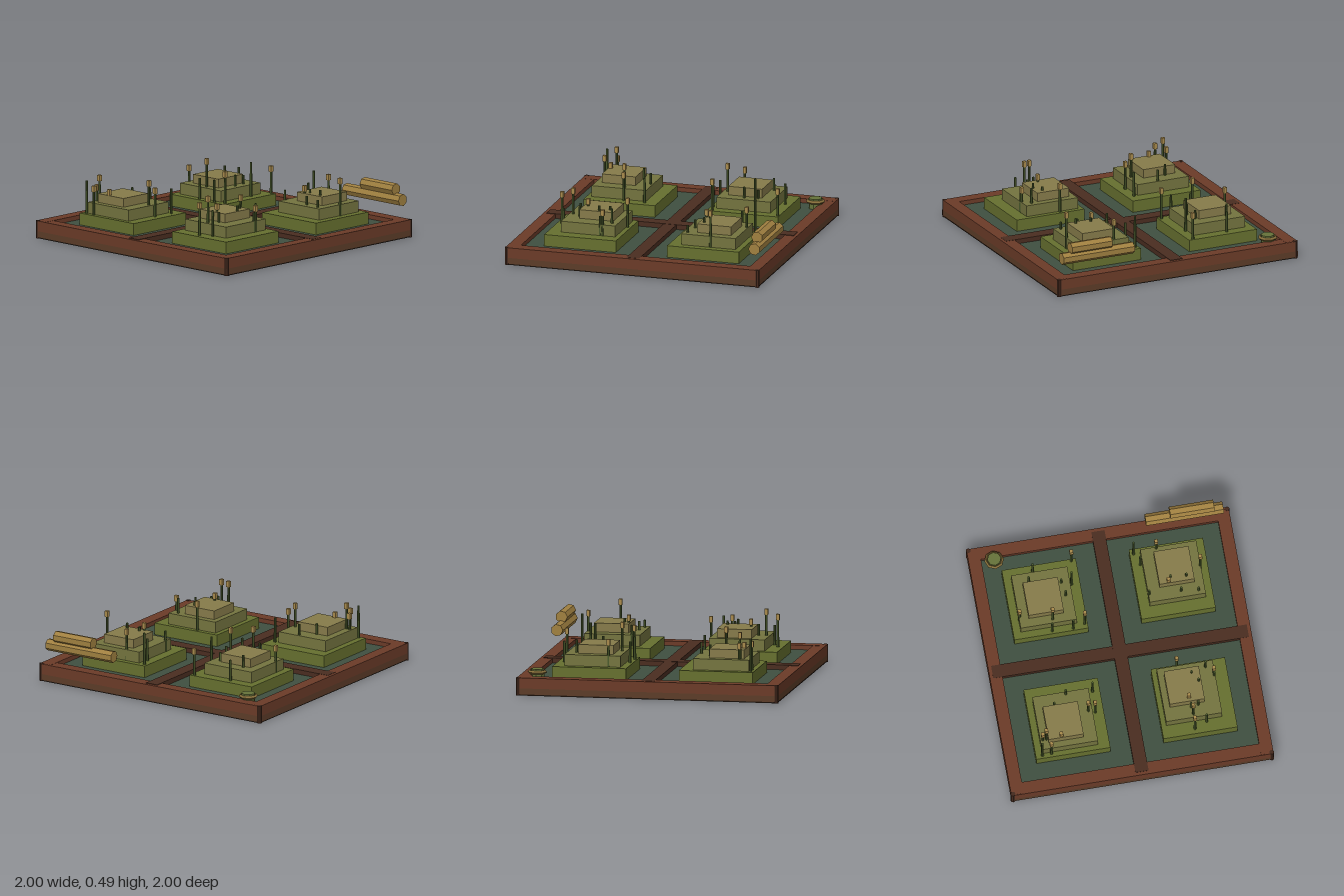
import * as THREE from 'three';

const mat = (color) => new THREE.MeshStandardMaterial({ color, flatShading: true });
const M = {
  base: mat(0x2a1d14), trim: mat(0x5c3c28), rail: mat(0x6b3b28), beam: mat(0x4a2d20),
  post: mat(0x452a1e), water: mat(0x3f4f40), tier1: mat(0x66702f), tier2: mat(0x74743f),
  tier3: mat(0x867b4a), stalk: mat(0x4a5a2c), head: mat(0xa88a4c), log: mat(0xa08040),
  basket: mat(0x826b38), leaf: mat(0x66733a),
};

function add(parent, name, geometry, material, x, y, z) {
  const mesh = new THREE.Mesh(geometry, material);
  mesh.name = name;
  mesh.position.set(x, y, z);
  parent.add(mesh);
  return mesh;
}

// Box given by its bottom and top heights
const slab = (parent, name, material, w, d, y0, y1, x = 0, z = 0) =>
  add(parent, name, new THREE.BoxGeometry(w, y1 - y0, d), material, x, (y0 + y1) / 2, z);

// Stepped islands: centre, then offset centres of the middle and top steps
const islands = [
  { name: 'backRight', c: [-0.485, -0.485], mid: [-0.496, -0.47], top: [-0.504, -0.456] },
  { name: 'backLeft', c: [0.48, -0.485], mid: [0.49, -0.51], top: [0.502, -0.533] },
  { name: 'frontRight', c: [-0.485, 0.48], mid: [-0.504, 0.51], top: [-0.525, 0.543] },
  { name: 'frontLeft', c: [0.48, 0.48], mid: [0.449, 0.448], top: [0.415, 0.42] },
];

// Reeds with a seed head: x, z, top height
const headed = [
  [-0.24, -0.753, 0.4], [-0.702, -0.349, 0.4], [-0.461, -0.29, 0.493], [-0.225, -0.244, 0.434],
  [0.397, -0.713, 0.434], [0.7, -0.525, 0.477], [0.44, -0.413, 0.4],
  [-0.322, 0.475, 0.46], [-0.268, 0.464, 0.41], [-0.697, 0.646, 0.4], [-0.67, 0.646, 0.477],
  [-0.558, 0.657, 0.385], [-0.646, 0.732, 0.41],
  [0.391, 0.223, 0.417], [0.654, 0.335, 0.39], [0.432, 0.52, 0.4], [0.448, 0.633, 0.477], [0.445, 0.721, 0.44],
];

// Plain reeds: x, z, top height
const plain = [
  [-0.54, -0.716, 0.35], [-0.587, -0.614, 0.37], [-0.349, -0.566, 0.34], [-0.27, -0.568, 0.45],
  [-0.332, -0.461, 0.36], [-0.475, -0.228, 0.35], [-0.316, -0.222, 0.36],
  [0.228, -0.727, 0.434], [0.263, -0.635, 0.36], [0.461, -0.448, 0.37], [0.579, -0.437, 0.38],
  [0.284, -0.362, 0.35], [0.525, -0.349, 0.34], [0.654, -0.332, 0.33],
  [-0.466, 0.314, 0.36], [-0.26, 0.298, 0.38], [-0.568, 0.4, 0.36], [-0.716, 0.737, 0.44],
  [0.6, 0.28, 0.39], [0.485, 0.33, 0.37], [0.528, 0.402, 0.38], [0.654, 0.355, 0.34],
  [0.496, 0.566, 0.35], [0.44, 0.576, 0.36], [0.541, 0.678, 0.34],
];

export function createModel() {
  const model = new THREE.Group();
  model.name = 'wetlandTray';

  // Tray floor, trim and water
  slab(model, 'base', M.base, 1.98, 1.98, 0, 0.02);
  slab(model, 'trim', M.trim, 1.99, 1.99, 0.01, 0.055);
  slab(model, 'water', M.water, 1.84, 1.84, 0.05, 0.1);

  // Outer rails and corner posts
  for (const s of [-1, 1]) {
    slab(model, 'sideRail', M.rail, 0.095, 1.98, 0.055, 0.134, s * 0.9475, 0);
    slab(model, 'endRail', M.rail, 1.98, 0.095, 0.055, 0.133, 0, s * 0.9475);
    for (const t of [-1, 1]) {
      add(model, 'cornerPost', new THREE.CylinderGeometry(0.018, 0.018, 0.135, 8), M.post, s * 0.982, 0.0675, t * 0.982);
    }
  }

  // Crossing beams between the four pools
  slab(model, 'longBeam', M.beam, 0.1, 1.94, 0.05, 0.137);
  slab(model, 'crossBeam', M.beam, 1.94, 0.1, 0.05, 0.1355);

  // Three-step islands
  for (const { name, c, mid, top } of islands) {
    const island = new THREE.Group();
    island.name = name + 'Island';
    slab(island, 'lowerStep', M.tier1, 0.562, 0.562, 0.09, 0.19, ...c);
    slab(island, 'middleStep', M.tier2, 0.425, 0.425, 0.18, 0.275, ...mid);
    slab(island, 'topStep', M.tier3, 0.265, 0.265, 0.27, 0.342, ...top);
    model.add(island);
  }

  // Reeds
  const reeds = new THREE.Group();
  reeds.name = 'reeds';
  model.add(reeds);
  const stalk = (x, z, h) =>
    add(reeds, 'stalk', new THREE.CylinderGeometry(0.009, 0.011, h - 0.18, 6), M.stalk, x, (h + 0.18) / 2, z);
  for (const [x, z, h] of plain) stalk(x, z, h);
  for (const [x, z, h] of headed) {
    stalk(x, z, h - 0.02);
    slab(reeds, 'seedHead', M.head, 0.026, 0.026, h - 0.045, h, x, z);
  }

  // Two stacked logs above the back rail
  for (const [x0, x1, y] of [[0.355, 0.945, 0.28], [0.54, 0.875, 0.352]]) {
    const log = add(model, 'log', new THREE.CylinderGeometry(0.046, 0.046, x1 - x0, 7), M.log, (x0 + x1) / 2, y, -0.945);
    log.rotation.z = Math.PI / 2;
  }

  // Small basket in the back corner
  const rim = add(model, 'basketRim', new THREE.TorusGeometry(0.06, 0.014, 4, 8), M.basket, -0.805, 0.155, -0.87);
  rim.rotation.x = Math.PI / 2;
  add(model, 'basketFill', new THREE.CylinderGeometry(0.052, 0.052, 0.08, 8), M.leaf, -0.805, 0.138, -0.87);

  return model;
}
